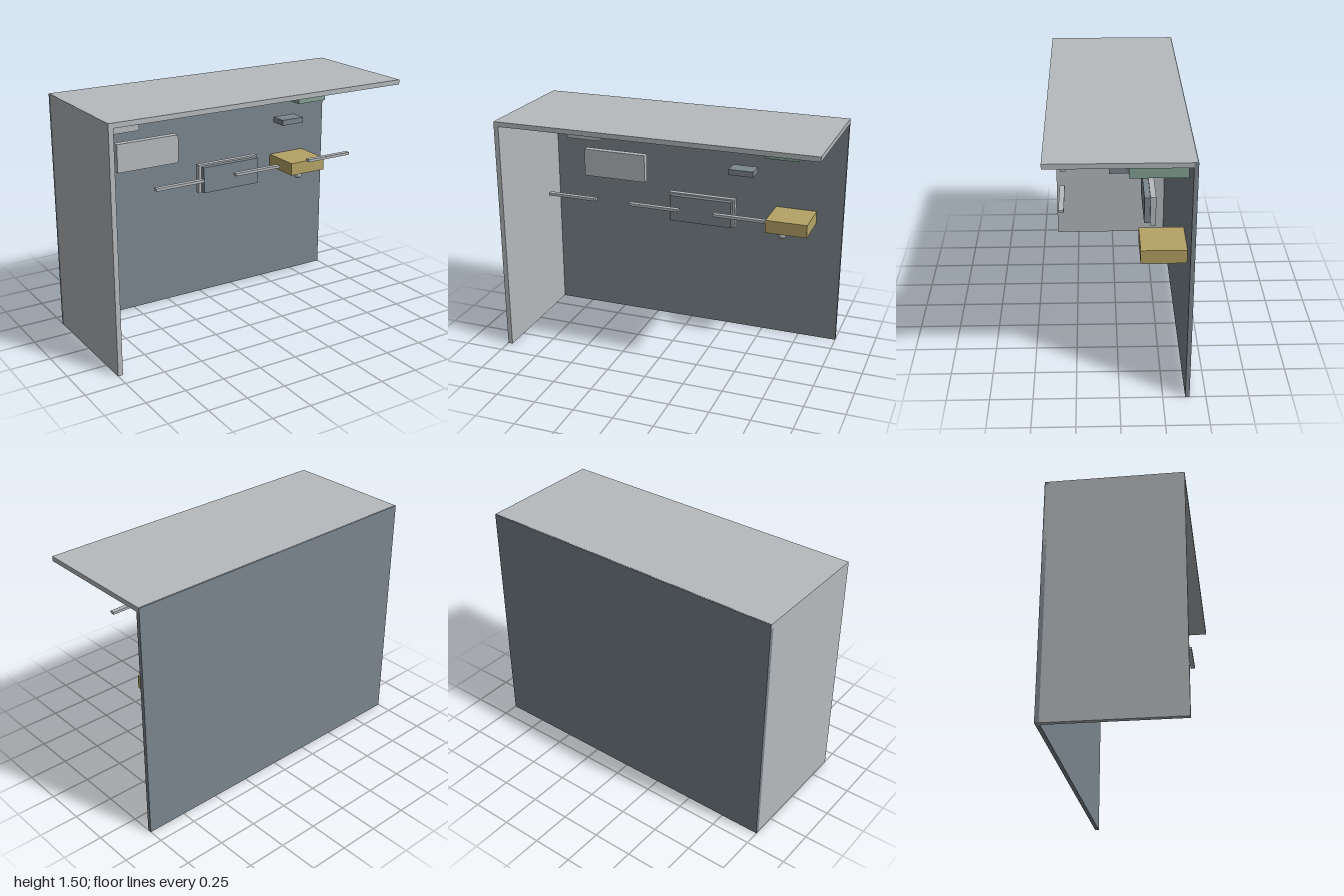
import * as THREE from 'three';

export function createModel() {
  const group = new THREE.Group();
  const mat = (name, color) => Object.assign(new THREE.MeshStandardMaterial({ color }), { name });
  const light = mat('light grey', 0xb6babd);
  const slate = mat('slate grey', 0x7c868e);
  const green = mat('soft green', 0x86a396);
  const yellow = mat('mustard yellow', 0xb5a466);

  // Axis-aligned box given by its limits
  function box(name, material, x0, x1, y0, y1, z0, z1) {
    const mesh = new THREE.Mesh(new THREE.BoxGeometry(x1 - x0, y1 - y0, z1 - z0), material);
    mesh.position.set((x0 + x1) / 2, (y0 + y1) / 2, (z0 + z1) / 2);
    mesh.name = name;
    group.add(mesh);
  }

  // Shell: back wall, one side wall and roof
  box('backWall', slate, -1, 1, 0, 1.499, -0.405, -0.38);
  box('sideWall', light, -1, -0.97, 0, 1.48, -0.398, 0.405);
  box('roof', light, -1, 1, 1.47, 1.5, -0.398, 0.405);

  // Thin plates under the roof
  box('ceilingPlateRight', slate, -0.775, -0.58, 1.448, 1.455, -0.05, 0.095);
  box('ceilingPlateCentre', slate, -0.3, 0.15, 1.453, 1.461, -0.05, 0.215);
  box('ceilingPlateInner', slate, -0.28, 0.02, 1.459, 1.464, -0.06, 0.125);
  box('ceilingPlateLeft', slate, 0.48, 0.61, 1.452, 1.46, -0.06, 0.125);

  // Small boxes near the roof
  box('ceilingBox', light, 0.2, 0.34, 1.418, 1.442, -0.09, 0.005);
  box('cabinetTopBox', light, 0.665, 0.73, 1.42, 1.445, -0.08, -0.015);
  box('hangingBox', slate, 0.37, 0.525, 1.21, 1.245, -0.056, 0.048);

  // Cabinets on the back wall
  box('greenCabinet', green, 0.565, 0.775, 1.303, 1.428, -0.38, -0.055);
  box('yellowCabinet', yellow, 0.565, 0.83, 0.8, 0.883, -0.38, -0.12);

  // Floating panels
  box('upperPanel', light, -0.775, -0.555, 1.275, 1.402, -0.155, -0.12);
  box('largePanel', light, -0.68, -0.26, 1.012, 1.192, -0.22, -0.175);
  box('screenBack', light, -0.1, 0.342, 0.772, 0.96, -0.235, -0.2);
  box('screen', slate, -0.082, 0.327, 0.78, 0.95, -0.2, -0.165);

  // Row of slim bars near the front
  for (const x of [-0.53, -0.002, 0.525])
    box('bar', light, x - 0.155, x + 0.155, 1.045, 1.061, 0.305, 0.335);

  // Knobs under the yellow cabinet
  [-0.18, -0.255, -0.33].forEach((z, i) => {
    const knob = new THREE.Mesh(new THREE.SphereGeometry(0.027, 24, 16), i ? slate : light);
    knob.position.set(0.66, 0.777, z);
    knob.name = 'knob';
    group.add(knob);
  });

  return group;
}
